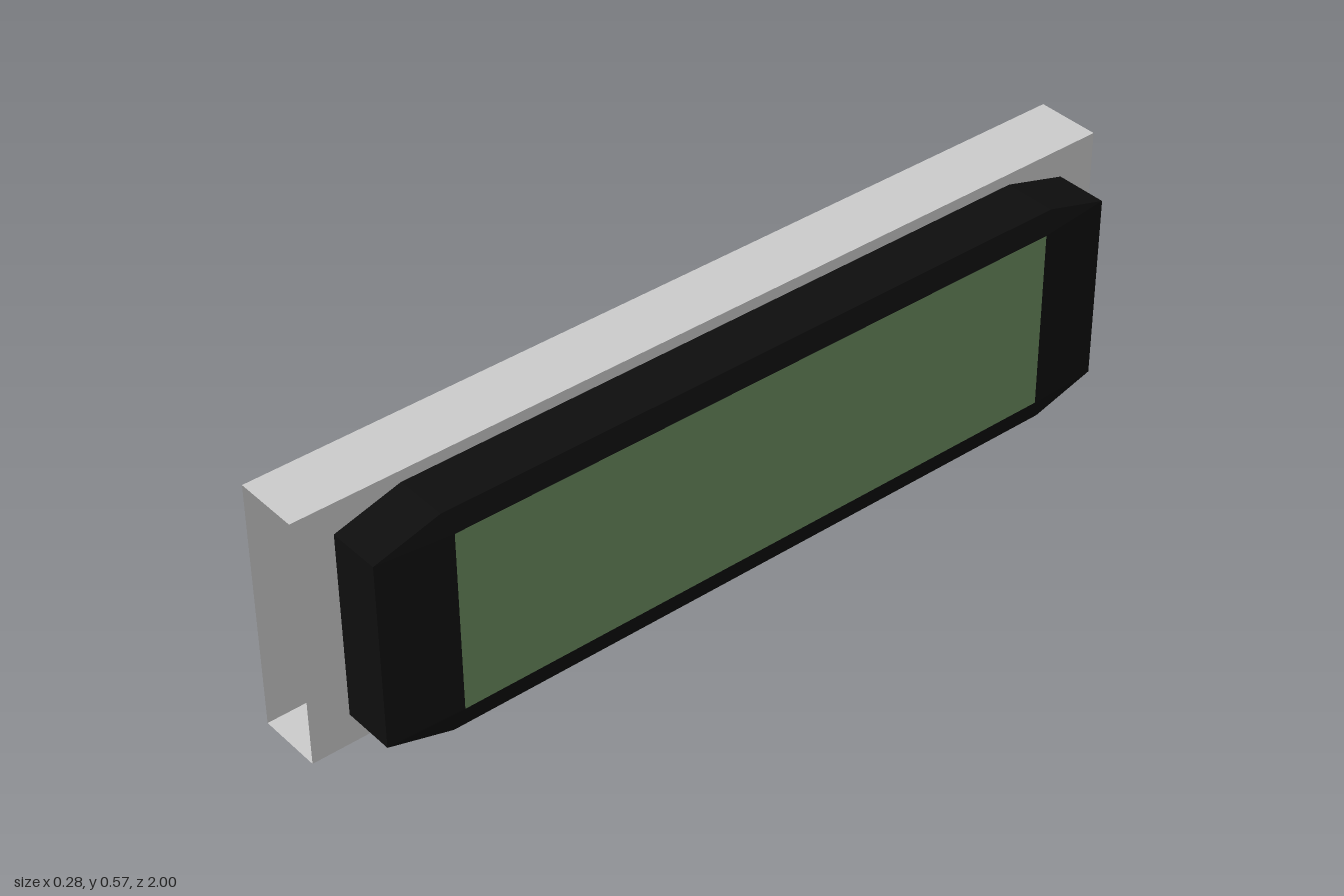
import * as THREE from 'three';

const WALL_X = 0.008, LIP_X = 0.128, FACE_X = 0.14, BACK_X = -0.14;
const HEIGHT = 0.57, MID_Y = 0.286;

const grey = new THREE.MeshStandardMaterial({ color: 0xcccccc, side: THREE.DoubleSide, flatShading: true });
const black = new THREE.MeshStandardMaterial({ color: 0x0e0e0e, side: THREE.DoubleSide, flatShading: true });
const green = new THREE.MeshStandardMaterial({ color: 0x6a8a5e, side: THREE.DoubleSide, flatShading: true });

// Outlines as [u, y], counter-clockwise seen from +x (u runs along -z)
const outer = [[-0.76, -0.258], [0.76, -0.258], [0.91, -0.215], [0.91, 0.215],
  [0.76, 0.258], [-0.76, 0.258], [-0.91, 0.215], [-0.91, -0.215]];
// The same eight points pulled in to the four corners of the screen
const inner = outer.map(([u, y]) => [Math.sign(u) * 0.74, Math.sign(y) * 0.209]);

function mesh(name, geometry, material) {
  const m = new THREE.Mesh(geometry, material);
  m.name = name;
  return m;
}

// Flat panel facing +x
function sidePanel(name, width, height, x, y, material) {
  const m = mesh(name, new THREE.PlaneGeometry(width, height).rotateY(Math.PI / 2), material);
  m.position.set(x, y, 0);
  return m;
}

// Skin between successive outlines placed at given x
function loft(rings) {
  const pos = [];
  const put = (ring, i) => pos.push(ring.x, MID_Y + ring.points[i][1], -ring.points[i][0]);
  for (let r = 0; r < rings.length - 1; r++) {
    const a = rings[r], b = rings[r + 1], n = a.points.length;
    for (let i = 0; i < n; i++) {
      const j = (i + 1) % n;
      put(a, i); put(a, j); put(b, j);
      // Skip triangles that shrink to a line at the screen corners
      const same = b.points[i][0] === b.points[j][0] && b.points[i][1] === b.points[j][1];
      if (!same) { put(a, i); put(b, j); put(b, i); }
    }
  }
  const g = new THREE.BufferGeometry();
  g.setAttribute('position', new THREE.Float32BufferAttribute(pos, 3));
  g.computeVertexNormals();
  return g;
}

export function createModel() {
  const group = new THREE.Group();
  group.name = 'displayPanel';

  // Casing: a thin sleeve open at both z ends
  const casing = new THREE.Group();
  casing.name = 'casing';
  const depth = WALL_X - BACK_X;
  for (const [name, y, turn] of [['casingTop', HEIGHT, -1], ['casingBottom', 0, 1]]) {
    const m = mesh(name, new THREE.PlaneGeometry(depth, 2).rotateX(turn * Math.PI / 2), grey);
    m.position.set((WALL_X + BACK_X) / 2, y, 0);
    casing.add(m);
  }
  const back = sidePanel('casingBack', 2, HEIGHT, BACK_X, HEIGHT / 2, grey);
  back.rotation.y = Math.PI;
  casing.add(back);

  // Front wall with an opening behind the bezel
  const wall = new THREE.Shape([[-1, 0], [1, 0], [1, HEIGHT], [-1, HEIGHT]].map(p => new THREE.Vector2(...p)));
  wall.holes.push(new THREE.Path(outer.map(([u, y]) => new THREE.Vector2(u, y + MID_Y))));
  const front = mesh('casingFront', new THREE.ShapeGeometry(wall).rotateY(Math.PI / 2), grey);
  front.position.x = WALL_X;
  casing.add(front);
  group.add(casing);

  // Bezel: straight sides, then a shallow slope up to the screen
  group.add(mesh('bezel', loft([
    { x: WALL_X, points: outer },
    { x: LIP_X, points: outer },
    { x: FACE_X, points: inner },
  ]), black));

  // Screen
  group.add(sidePanel('screen', 1.48, 0.418, FACE_X, MID_Y, green));
  return group;
}
